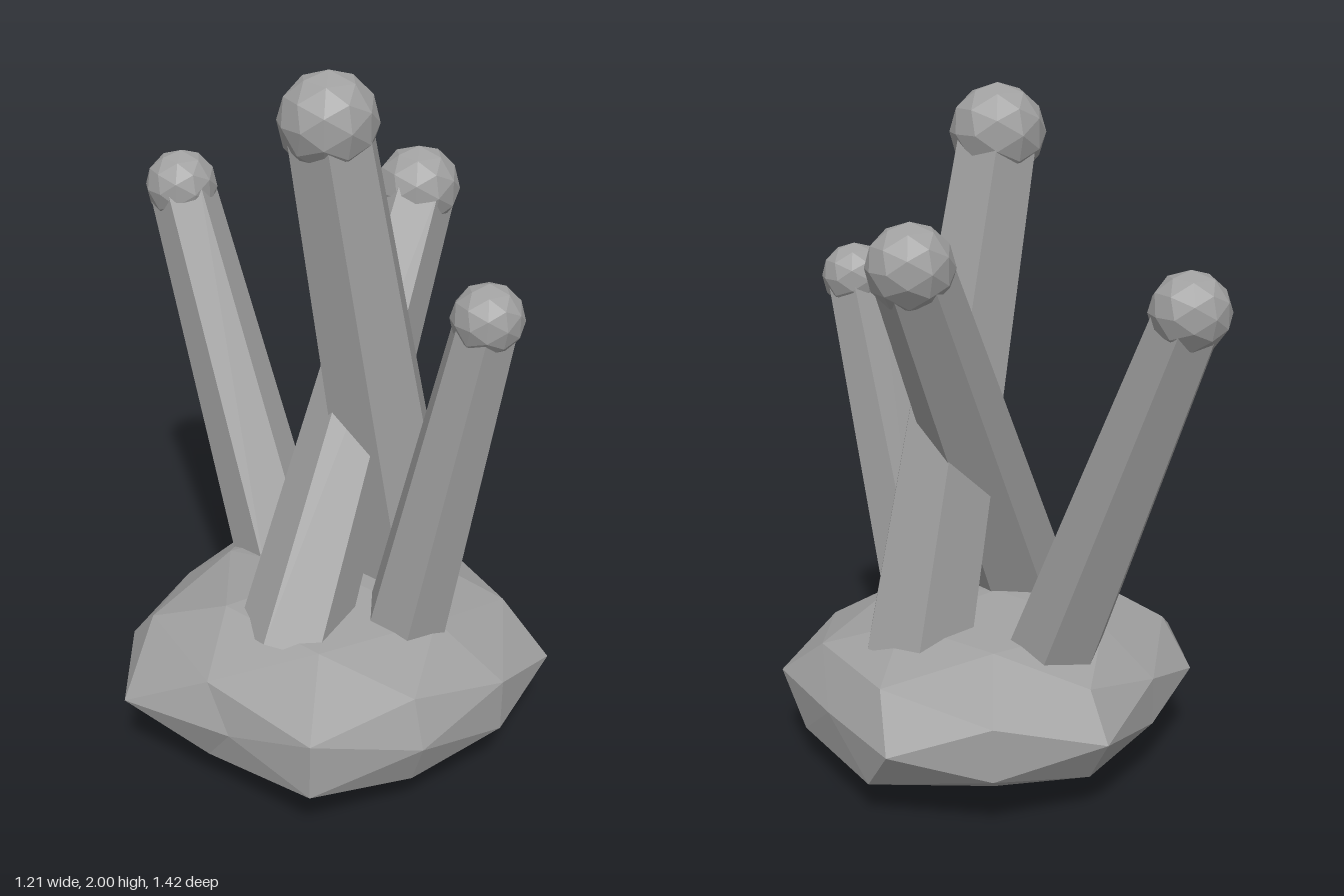
import * as THREE from 'three';

const grey = new THREE.MeshStandardMaterial({ color: 0xa0a0a0, flatShading: true });
grey.name = 'grey';

// Radial variation of the base: direction pattern (|x|,|y|,|z| with signs) and radius
const BUMPS = [
  [-1, 0, 0, 0.65], [1, 0, 0, 0.56], [0, 0, 1, 0.565],
  [-0.851, 0, 0.526, 0.53], [-0.851, 0, -0.526, 0.59],
  [0.851, 0, 0.526, 0.647], [0.851, 0, -0.526, 0.647],
  [-0.5, 0.309, 0.809, 0.64], [-0.5, -0.309, 0.809, 0.64],
  [-0.5, 0.309, -0.809, 0.54], [-0.5, -0.309, -0.809, 0.54],
  [0.809, -0.5, 0.309, 0.667], [0.809, -0.5, -0.309, 0.667],
  [-0.809, 0.5, 0.309, 0.58], [-0.809, -0.5, 0.309, 0.58],
  [-0.526, 0.851, 0, 0.63],
];

// Flattened, irregular faceted lump
function makeBase() {
  const geometry = new THREE.IcosahedronGeometry(1, 1);
  const pos = geometry.attributes.position;
  const v = new THREE.Vector3();
  for (let i = 0; i < pos.count; i++) {
    v.fromBufferAttribute(pos, i);
    const bump = BUMPS.find(([x, y, z]) => Math.hypot(v.x - x, v.y - y, v.z - z) < 0.05);
    const r = bump ? bump[3] : 0.6;
    pos.setXYZ(i, v.x * r, v.y * r * 0.425, v.z * r);
  }
  geometry.computeVertexNormals();
  const mesh = new THREE.Mesh(geometry, grey);
  mesh.name = 'base';
  mesh.position.set(0.04, 0.257, 0.143);
  return mesh;
}

// Tapered six-sided stalk from root to tip, with a faceted ball on the end
function makeStalk(name, root, tip, rootRadius, tipRadius, ballRadius) {
  const group = new THREE.Group();
  group.name = name;
  const a = new THREE.Vector3(...root);
  const b = new THREE.Vector3(...tip);

  const geometry = new THREE.CylinderGeometry(tipRadius, rootRadius, a.distanceTo(b), 6);
  geometry.rotateX(Math.PI / 2);
  const stem = new THREE.Mesh(geometry, grey);
  stem.name = 'stem';
  stem.position.copy(a).lerp(b, 0.5);
  stem.lookAt(b);

  const ball = new THREE.Mesh(new THREE.IcosahedronGeometry(ballRadius, 1), grey);
  ball.name = 'ball';
  ball.position.copy(b);

  group.add(stem, ball);
  return group;
}

export function createModel() {
  const model = new THREE.Group();
  model.name = 'stalkCluster';
  model.add(
    makeBase(),
    makeStalk('tallStalk', [0.3, 0.39, 0.145], [0.02, 1.867, 0.145], 0.17, 0.122, 0.134),
    makeStalk('leaningStalk', [-0.15, 0.39, 0.27], [0.42, 1.563, -0.078], 0.155, 0.11, 0.12),
    makeStalk('backStalk', [0.02, 0.39, -0.125], [-0.09, 1.483, -0.6], 0.138, 0.098, 0.108),
    makeStalk('frontStalk', [0.165, 0.39, 0.36], [0.275, 1.425, 0.545], 0.125, 0.088, 0.097),
  );
  return model;
}
